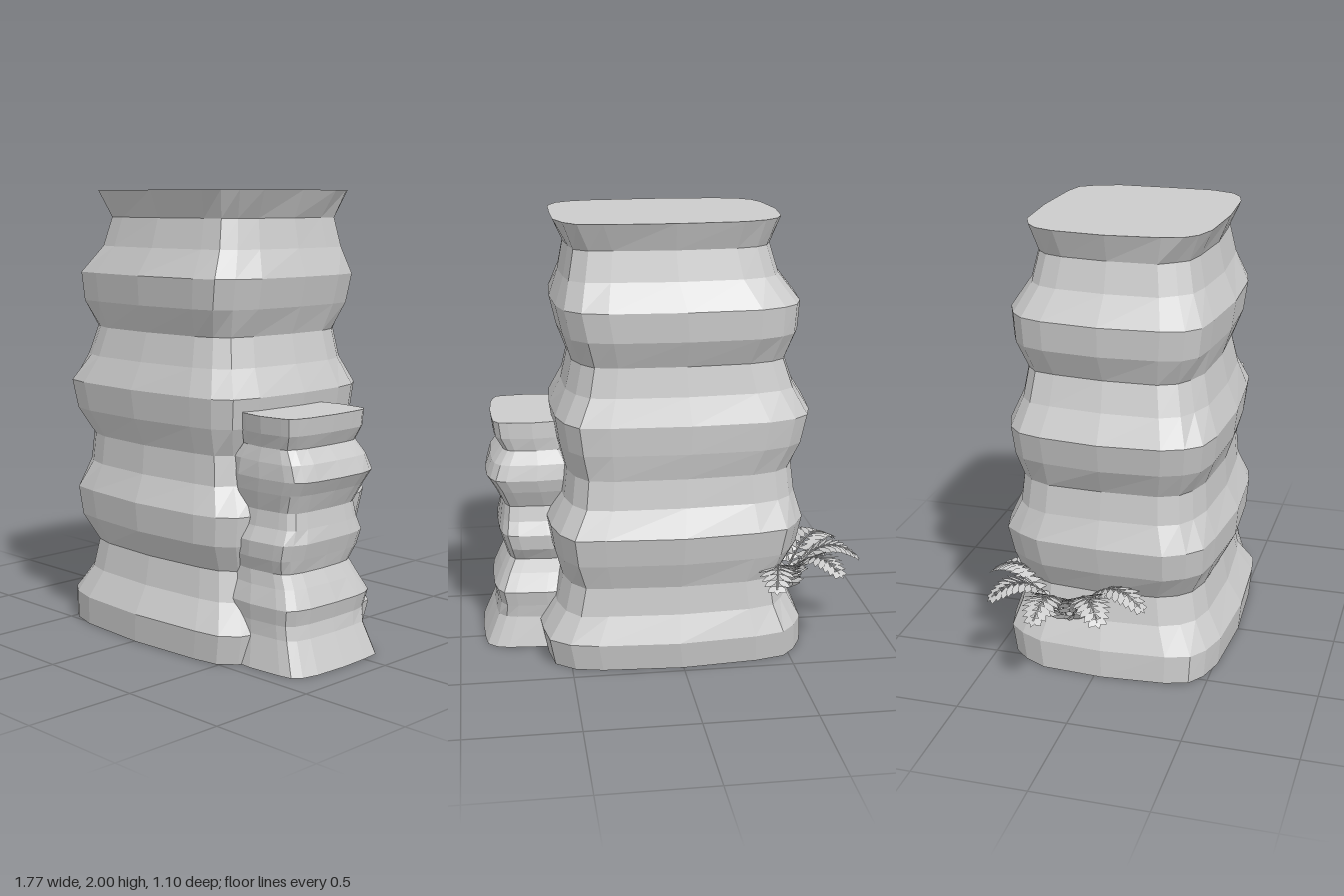
import * as THREE from 'three';
import { mergeGeometries } from 'three/addons/utils/BufferGeometryUtils.js';

const stone = new THREE.MeshStandardMaterial({ color: 0xcccccc, side: THREE.DoubleSide });
stone.name = 'pale grey stone';

// Rounded cross-section in unit coordinates (x, z), running left, front, right, back
const SECTION = [
  [-1, 0], [-0.98, 0.57], [-0.9, 0.76], [-0.79, 0.88], [-0.58, 0.95], [0, 1],
  [0.6, 0.97], [0.79, 0.92], [0.91, 0.8], [0.98, 0.55], [1, 0], [0.99, -0.5],
  [0.93, -0.76], [0.81, -0.92], [0.6, -0.97], [0, -1], [-0.58, -0.96], [-0.79, -0.88],
  [-0.9, -0.75], [-0.97, -0.55],
];

// Small repeatable unevenness, 0 to 1
const rough = (i, j) => {
  const s = Math.sin(i * 12.9898 + j * 78.233) * 43758.5453;
  return s - Math.floor(s);
};

// Faceted rock lofted through levels [y, left, right, back, front]
function rock(name, levels, amount) {
  const n = SECTION.length;
  const rings = levels.map(([y, l, r, b, f], j) => SECTION.map(([u, v], i) => {
    const corner = u * v === 0 ? 0 : 1;
    const k = 1 + corner * amount * (0.4 - rough(i, Math.floor(j / 2)));
    return [(l + r) / 2 + u * k * (r - l) / 2, y, (b + f) / 2 + v * k * (f - b) / 2];
  }));
  const pos = [];
  const tri = (...points) => points.forEach((p) => pos.push(...p));
  for (let j = 0; j < rings.length - 1; j++) {
    for (let i = 0; i < n; i++) {
      const k = (i + 1) % n;
      const a = rings[j][i], b = rings[j][k], c = rings[j + 1][k], d = rings[j + 1][i];
      tri(a, b, c);
      tri(a, c, d);
    }
  }
  // Flat top and bottom
  const middle = ([y, l, r, b, f]) => [(l + r) / 2, y, (b + f) / 2];
  const last = rings.length - 1;
  for (let i = 0; i < n; i++) {
    const k = (i + 1) % n;
    tri(middle(levels[last]), rings[last][i], rings[last][k]);
    tri(middle(levels[0]), rings[0][k], rings[0][i]);
  }
  const geo = new THREE.BufferGeometry();
  geo.setAttribute('position', new THREE.Float32BufferAttribute(pos, 3));
  geo.computeVertexNormals();
  const mesh = new THREE.Mesh(geo, stone);
  mesh.name = name;
  return mesh;
}

// Pointed leaflet starting at p, along dir, with width along across
function leaflet(p, dir, across, length, width) {
  const at = (t, w) => p.clone().addScaledVector(dir, t * length).addScaledVector(across, w * width);
  const outline = [at(0, 0), at(0.35, -0.45), at(0.65, -0.45), at(1, 0), at(0.65, 0.45), at(0.35, 0.45)];
  const pos = [];
  for (let i = 1; i < 5; i++) {
    for (const q of [outline[0], outline[i + 1], outline[i]]) pos.push(q.x, q.y, q.z);
  }
  const geo = new THREE.BufferGeometry();
  geo.setAttribute('position', new THREE.Float32BufferAttribute(pos, 3));
  geo.computeVertexNormals();
  return geo;
}

// Arching frond: a thin stem with paired leaflets
function frond(base, tip) {
  const bend = base.clone().lerp(tip, 0.45).setY(0.56);
  const path = new THREE.QuadraticBezierCurve3(base, bend, tip);
  const stem = new THREE.TubeGeometry(path, 12, 0.004, 4).toNonIndexed();
  stem.deleteAttribute('uv');
  const parts = [stem];
  const pairs = 13;
  for (let i = 0; i < pairs; i++) {
    const t = 0.1 + 0.87 * i / (pairs - 1);
    const p = path.getPoint(t), along = path.getTangent(t);
    const side = new THREE.Vector3(0, 1, 0).cross(along).normalize();
    const length = 0.12 * (1 - 0.65 * t ** 4);
    for (const s of [-1, 1]) {
      const dir = side.clone().multiplyScalar(s * 0.85).addScaledVector(along, 0.5);
      dir.y -= 0.12;
      dir.normalize();
      const across = along.clone().addScaledVector(dir, -along.dot(dir)).normalize();
      parts.push(leaflet(p, dir, across, length, 0.034));
    }
  }
  parts.push(leaflet(path.getPoint(0.97), path.getTangent(1),
    new THREE.Vector3(0, 1, 0).cross(path.getTangent(1)).normalize(), 0.045, 0.025));
  const mesh = new THREE.Mesh(mergeGeometries(parts), stone);
  mesh.name = 'frond';
  return mesh;
}

export function createModel() {
  const model = new THREE.Group();
  model.name = 'rockPillars';

  // Tall column with bulging strata
  model.add(rock('mainPillar', [
    [0, -0.6, 0.61, -0.47, 0.54], [0.13, -0.595, 0.635, -0.495, 0.55],
    [0.25, -0.535, 0.56, -0.445, 0.48], [0.38, -0.51, 0.53, -0.435, 0.455],
    [0.5, -0.57, 0.57, -0.475, 0.515], [0.63, -0.595, 0.59, -0.5, 0.525],
    [0.75, -0.55, 0.52, -0.435, 0.47], [0.88, -0.535, 0.505, -0.42, 0.46],
    [1.0, -0.6, 0.535, -0.445, 0.5], [1.13, -0.63, 0.555, -0.455, 0.515],
    [1.25, -0.555, 0.5, -0.41, 0.465], [1.38, -0.51, 0.47, -0.39, 0.435],
    [1.5, -0.565, 0.515, -0.445, 0.475], [1.63, -0.575, 0.545, -0.455, 0.49],
    [1.75, -0.48, 0.505, -0.385, 0.43], [1.88, -0.44, 0.48, -0.355, 0.4],
    [2, -0.485, 0.535, -0.4, 0.45],
  ], 0.035));

  // Shorter column leaning against its left side
  model.add(rock('smallPillar', [
    [0, 0.34, 0.89, -0.16, 0.43], [0.14, 0.36, 0.83, -0.13, 0.4],
    [0.2, 0.36, 0.82, -0.14, 0.4], [0.27, 0.36, 0.835, -0.155, 0.41],
    [0.35, 0.36, 0.8, -0.11, 0.385], [0.41, 0.36, 0.77, -0.085, 0.375],
    [0.47, 0.36, 0.785, -0.12, 0.395], [0.54, 0.36, 0.805, -0.13, 0.4],
    [0.6, 0.38, 0.795, -0.1, 0.37], [0.67, 0.4, 0.785, -0.085, 0.36],
    [0.75, 0.4, 0.82, -0.125, 0.38], [0.81, 0.4, 0.855, -0.145, 0.39],
    [0.88, 0.41, 0.83, -0.13, 0.385], [0.94, 0.46, 0.785, -0.1, 0.37],
    [1.0, 0.46, 0.815, -0.11, 0.39], [1.075, 0.46, 0.825, -0.11, 0.4],
  ], 0.035));

  // Fern growing from a groove on the right side
  const fern = new THREE.Group();
  fern.name = 'fern';
  const root = new THREE.Vector3(-0.5, 0.17, -0.14);
  const tips = [[-0.86, 0.39, -0.19], [-0.72, 0.4, -0.43], [-0.41, 0.38, -0.53],
    [-0.8, 0.39, 0.08], [-0.61, 0.38, 0.22]];
  for (const tip of tips) fern.add(frond(root, new THREE.Vector3(...tip)));
  model.add(fern);
  return model;
}
